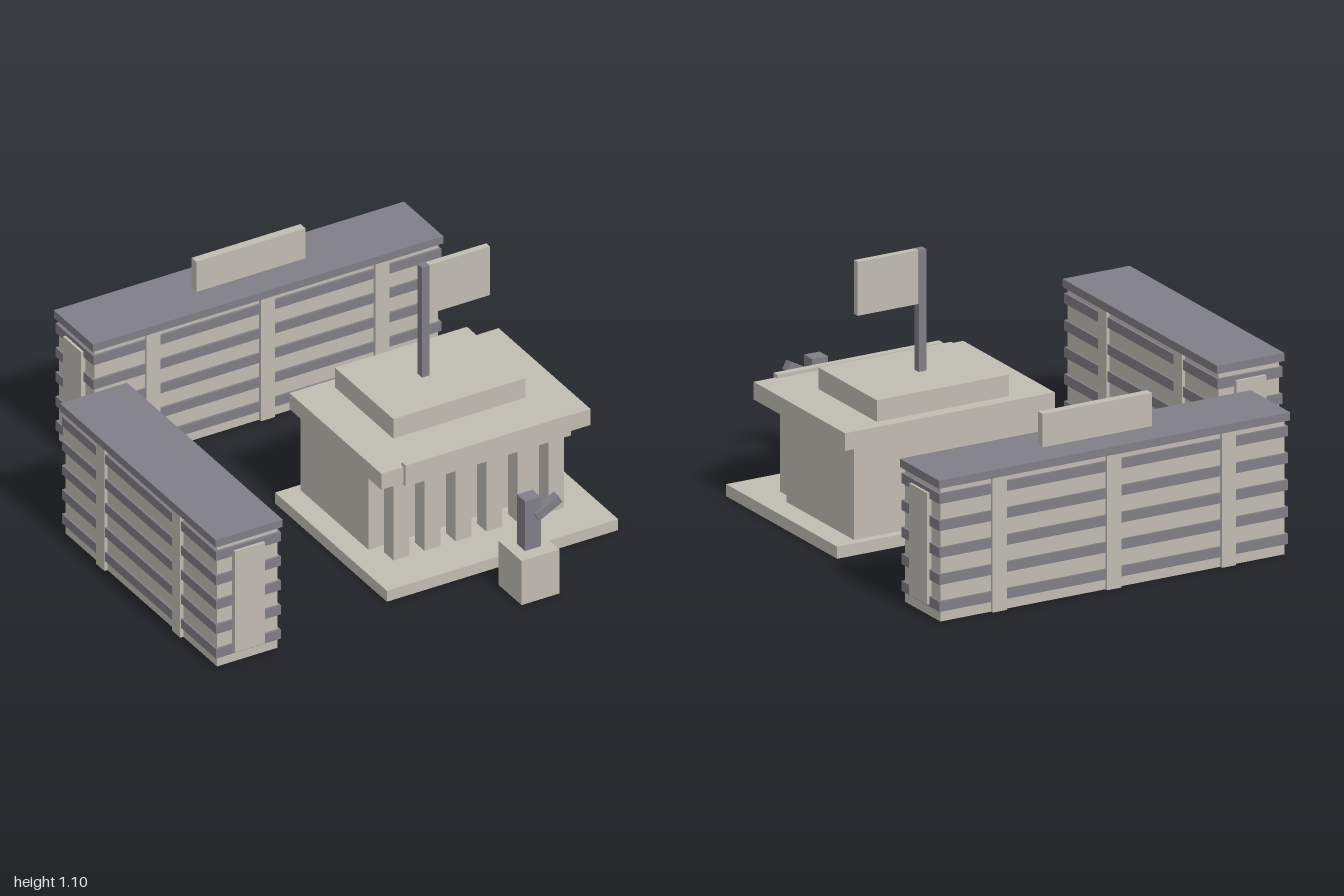
import * as THREE from 'three';

const stone = new THREE.MeshStandardMaterial({ color: 0xc0bcb2 });
stone.name = 'pale stone';
const slate = new THREE.MeshStandardMaterial({ color: 0x807e86 });
slate.name = 'slate grey';

// Box given by its extents on each axis
function box(parent, name, material, [x0, x1], [y0, y1], [z0, z1]) {
  const mesh = new THREE.Mesh(new THREE.BoxGeometry(x1 - x0, y1 - y0, z1 - z0), material);
  mesh.position.set((x0 + x1) / 2, (y0 + y1) / 2, (z0 + z1) / 2);
  mesh.name = name;
  parent.add(mesh);
  return mesh;
}

const span = (half, centre = 0) => [centre - half, centre + half];

// Long office block lying along its own x axis
function officeBlock(name, length, width, pilasters) {
  const g = new THREE.Group();
  g.name = name;
  const l = length / 2, w = width / 2;
  box(g, 'walls', stone, span(l - 0.015), [0, 0.556], span(w - 0.015));
  box(g, 'roofSlab', slate, span(l), [0.556, 0.59], span(w));
  // Window bands wrap around the walls
  for (let i = 0; i < 5; i++) {
    const y = 0.065 + i * 0.1115;
    box(g, 'windowBand', slate, span(l - 0.005), span(0.021, y), span(w - 0.005));
  }
  // Pilasters on both long sides
  for (const x of pilasters) {
    for (const s of [-1, 1]) {
      box(g, 'pilaster', stone, span(0.032, x), [0, 0.556], span(0.015, s * (w - 0.016)));
    }
  }
  // Plain panels on both short ends
  for (const s of [-1, 1]) {
    box(g, 'endPanel', stone, span(0.012, s * (l - 0.006)), [0.053, 0.515], span(0.068));
  }
  return g;
}

function portico() {
  const g = new THREE.Group();
  g.name = 'portico';
  box(g, 'platform', stone, [-0.135, 0.915], [0, 0.05], [-0.145, 0.71]);
  box(g, 'hall', stone, [-0.04, 0.818], [0.05, 0.43], [-0.11, 0.41]);
  box(g, 'roofSlab', stone, [-0.085, 0.865], [0.43, 0.503], [-0.12, 0.583]);
  box(g, 'frontBeam', stone, [0.015, 0.765], [0.422, 0.518], [0.57, 0.6]);
  box(g, 'upperStep', stone, [0.09, 0.69], [0.503, 0.592], [-0.067, 0.38]);
  // Row of square columns
  for (let i = 0; i < 6; i++) {
    box(g, 'column', stone, span(0.036, 0.039 + i * 0.1405), [0.05, 0.43], [0.456, 0.528]);
  }
  // Flag and pole
  box(g, 'flagpole', slate, [0.345, 0.379], [0.592, 1.095], [0.137, 0.171]);
  box(g, 'flag', stone, [0.379, 0.654], [0.872, 1.095], [0.141, 0.168]);
  return g;
}

function statue() {
  const g = new THREE.Group();
  g.name = 'statue';
  box(g, 'pedestal', stone, [0.304, 0.476], [0, 0.202], [0.825, 1]);
  box(g, 'figure', slate, [0.354, 0.425], [0.202, 0.428], [0.88, 0.943]);
  // Raised arm pointing to the side
  const arm = box(g, 'arm', slate, span(0.059, 0.455), span(0.019, 0.372), [0.918, 0.955]);
  arm.rotation.z = 0.48;
  return g;
}

export function createModel() {
  const model = new THREE.Group();
  model.name = 'civicSquare';

  const back = officeBlock('backBlock', 1.59, 0.3, [-0.519, 0, 0.519]);
  back.position.set(0.163, 0, -0.85);
  box(back, 'roofSign', stone, span(0.247), [0.59, 0.728], span(0.018));

  const side = officeBlock('sideBlock', 1.19, 0.304, [-0.29, 0.29]);
  side.rotation.y = Math.PI / 2;
  side.position.set(-0.815, 0, 0.207);

  model.add(back, side, portico(), statue());
  return model;
}
